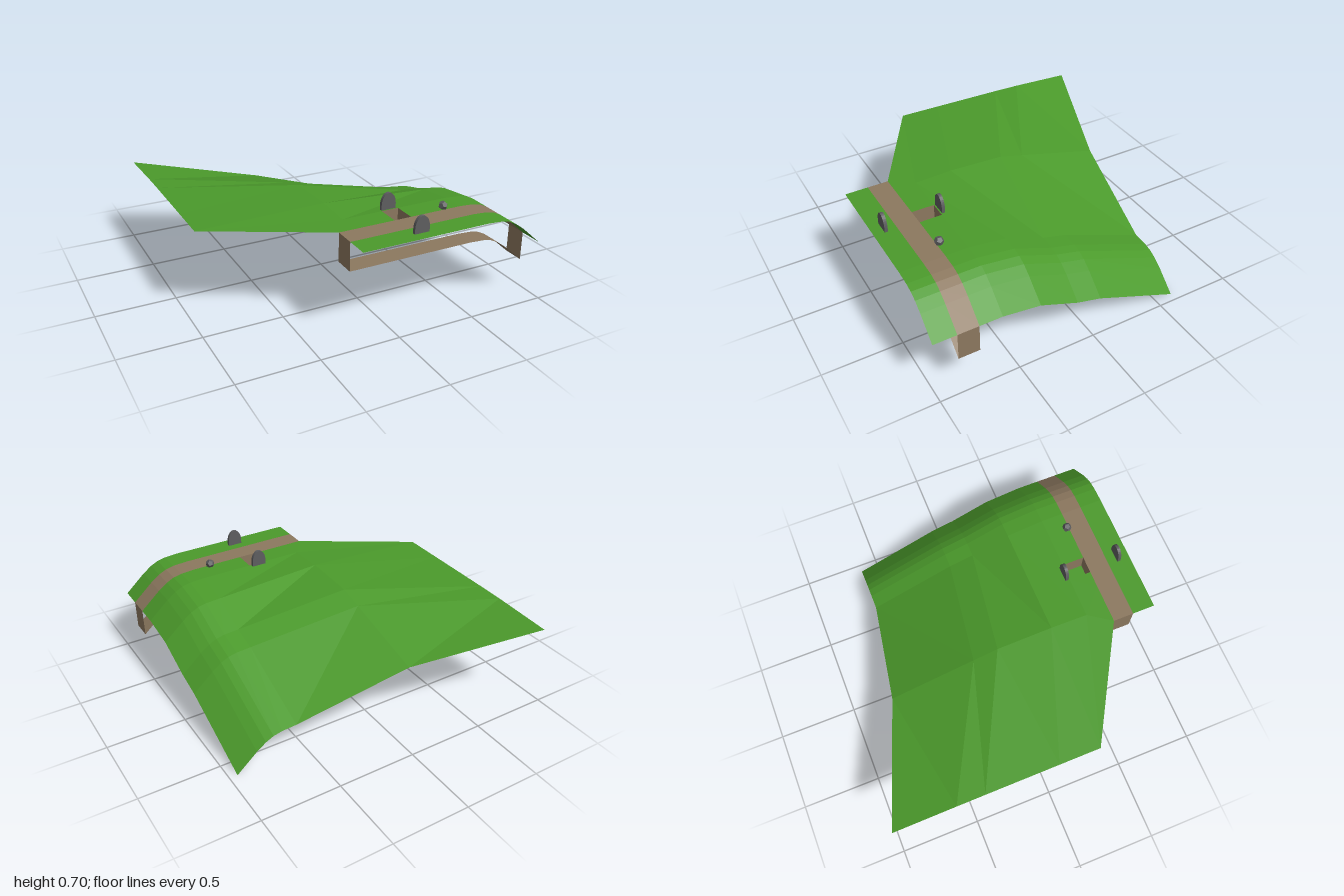
import * as THREE from 'three';

export function createModel() {
  const model = new THREE.Group();
  const mat = (name, color, side) => {
    const m = new THREE.MeshStandardMaterial({ color, side, flatShading: true });
    m.name = name;
    return m;
  };
  const grass = mat('grass green', 0x4b9a2b, THREE.DoubleSide);
  const dirt = mat('dirt brown', 0x8c785f, THREE.DoubleSide);
  const stone = mat('stone grey', 0x5e5e60, THREE.FrontSide);

  const add = (name, geometry, material, parent = model) => {
    const mesh = new THREE.Mesh(geometry, material);
    mesh.name = name;
    parent.add(mesh);
    return mesh;
  };

  // Faceted sheet through rows of points (rows run back to front, points left to right)
  const sheet = (rows) => {
    const pos = [];
    for (let r = 0; r < rows.length - 1; r++) {
      for (let c = 0; c < rows[r].length - 1; c++) {
        const a = rows[r][c], b = rows[r + 1][c], d = rows[r + 1][c + 1], e = rows[r][c + 1];
        pos.push(...a, ...b, ...e, ...b, ...d, ...e);
      }
    }
    const g = new THREE.BufferGeometry();
    g.setAttribute('position', new THREE.Float32BufferAttribute(pos, 3));
    g.computeVertexNormals();
    return g;
  };

  // Rounded shoulder: [x, drop] from the plateau edge down to the right side
  const shoulder = [[0.56, 0], [0.655, 0.006], [0.71, 0.018], [0.76, 0.042], [0.82, 0.085], [0.95, 0.2]];
  const shoulderAt = (y, z) => shoulder.map(([x, drop]) => [x, y - drop, z]);
  const TOP = 0.603;

  // Sloping hillside: [left y, z], [ridge y, z], [shoulder y, z]
  const hill = [
    [[0.555, -1], [0.412, -0.73], [0.207, -0.62]],
    [[0.573, -0.6], [0.556, -0.18], [0.43, -0.07]],
    [[0.577, -0.42], [0.597, -0.02], [0.472, 0.09]],
    [[0.583, 0.05], [0.612, 0.34], [0.57, 0.34]],
    [[0.586, 0.315], [TOP, 0.58], [TOP, 0.58]],
  ];
  add('hillside', sheet(hill.map(([l, m, s]) =>
    [[-0.95, ...l], [-0.15, ...m], ...shoulderAt(...s)])), grass);

  // Level ground beside the grave, leaving the pit open
  const Z0 = 0.58, Z1 = 0.723, Z2 = 0.855, X0 = 0.11, X1 = 0.22;
  add('groundLeftOfGrave', sheet([
    [[-0.95, 0.586, 0.315], [-0.15, TOP, Z0], [X0, TOP, Z0]],
    [[-0.25, TOP, Z1], [0, TOP, Z1], [X0, TOP, Z1]],
  ]), grass);
  add('groundRightOfGrave', sheet([Z0, Z1].map((z) => [[X1, TOP, z], ...shoulderAt(TOP, z)])), grass);

  // Front verge and path follow the same shoulder
  const strip = (za, zb, y) => sheet([za, zb].map((z) => [[-0.25, y, z], ...shoulderAt(y, z)]));
  add('frontVerge', strip(Z2, 1, TOP), grass);
  const path = new THREE.Group();
  path.name = 'path';
  model.add(path);
  const DEPTH = 0.182;
  add('pathSurface', strip(Z1, Z2, TOP), dirt, path);
  add('pathUnderside', strip(Z1, Z2, TOP - DEPTH), dirt, path);
  for (const [name, x, y] of [['pathLeftEnd', -0.25, TOP], ['pathRightEnd', 0.95, TOP - 0.2]]) {
    add(name, sheet([[[x, y, Z1], [x, y - DEPTH, Z1]], [[x, y, Z2], [x, y - DEPTH, Z2]]]), dirt, path);
  }

  // Open grave pit: four earth walls and a grassy floor
  const FLOOR = 0.482;
  const corners = [[X0, Z0], [X0, Z1], [X1, Z1], [X1, Z0], [X0, Z0]];
  add('graveWalls', sheet([TOP, FLOOR].map((y) => corners.map(([x, z]) => [x, y, z]))), dirt);
  add('graveFloor', sheet([Z0, Z1].map((z) => [[X0, FLOOR, z], [X1, FLOOR, z]])), grass);

  // Arched headstones
  const arch = new THREE.Shape();
  arch.moveTo(-0.048, 0);
  arch.lineTo(0.048, 0);
  arch.lineTo(0.048, 0.03);
  arch.absellipse(0, 0.03, 0.048, 0.074, 0, Math.PI, false);
  arch.closePath();
  const slab = new THREE.ExtrudeGeometry(arch, { depth: 0.02, bevelEnabled: false, curveSegments: 8 });
  slab.translate(0, 0, -0.01);
  for (const z of [0.562, 0.924]) add('headstone', slab, stone).position.set(0.16, TOP, z);

  // Small loose rock
  const rock = add('rock', new THREE.DodecahedronGeometry(0.029), stone);
  rock.position.set(0.45, 0.624, 0.708);
  rock.rotation.set(0.4, 0.3, 0.2);

  return model;
}
